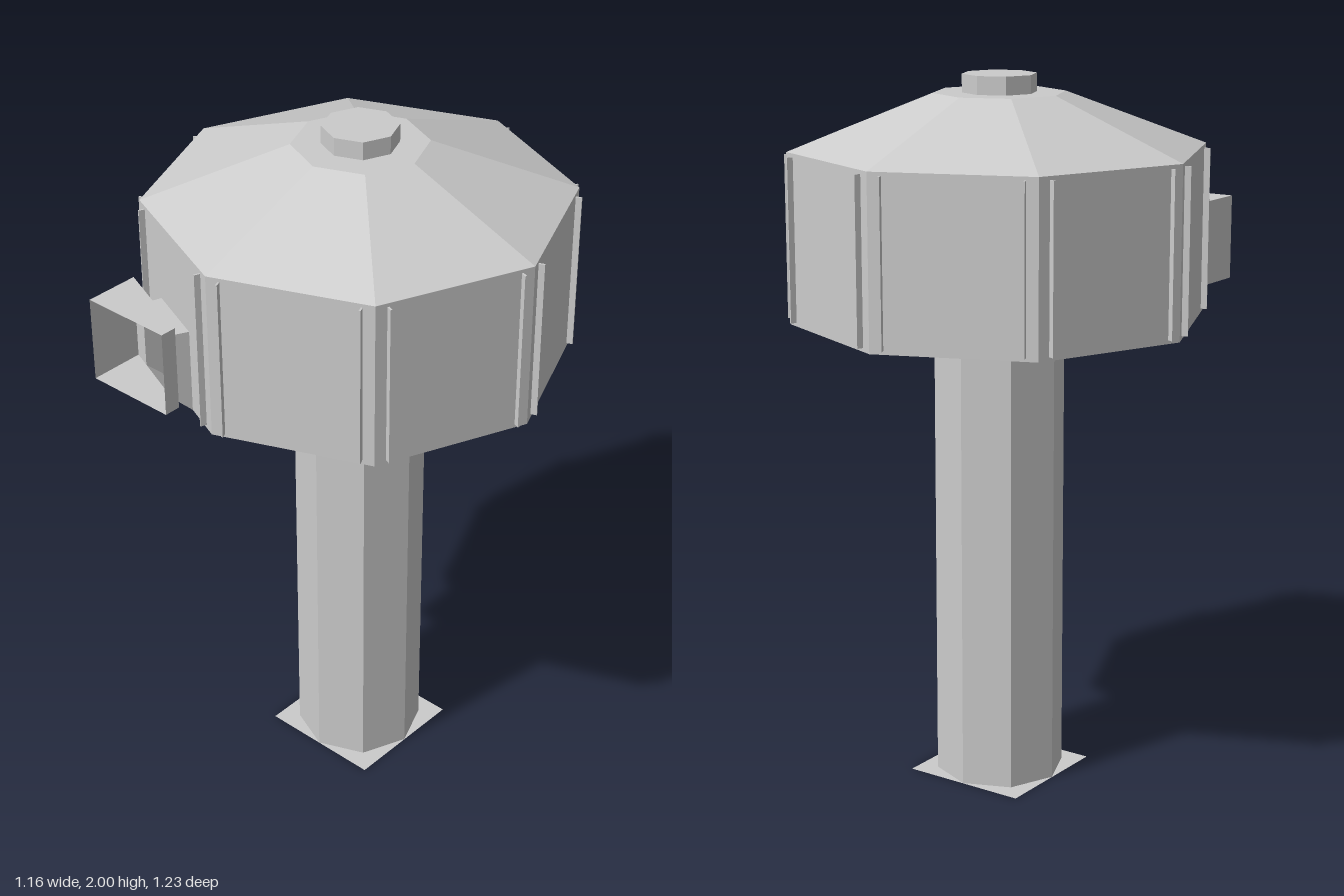
import * as THREE from 'three';

const SIDES = 8;
const BODY_R = 0.579, COLUMN_R = 0.183;
const BODY_BOTTOM = 1.33, BODY_TOP = 1.8;

const solid = new THREE.MeshStandardMaterial({ color: 0xcccccc, flatShading: true });
const sheet = new THREE.MeshStandardMaterial({ color: 0xcccccc, flatShading: true, side: THREE.DoubleSide });

function addMesh(parent, name, geometry, material = solid) {
  const mesh = new THREE.Mesh(geometry, material);
  mesh.name = name;
  parent.add(mesh);
  return mesh;
}

// Eight-sided drum or frustum between two heights
function addDrum(parent, name, topR, bottomR, y0, y1) {
  const geometry = new THREE.CylinderGeometry(topR, bottomR, y1 - y0, SIDES);
  addMesh(parent, name, geometry).position.y = (y0 + y1) / 2;
}

// Sheet surface from a list of four-cornered panels
function panels(quads) {
  const points = quads.flatMap(([a, b, c, d]) => [a, b, c, a, c, d]);
  const geometry = new THREE.BufferGeometry();
  geometry.setAttribute('position', new THREE.Float32BufferAttribute(points.flat(), 3));
  geometry.computeVertexNormals();
  return geometry;
}

// Rectangular ring of four corners: [x, z] of each side, then bottom and top
const ring = ([x0, z0], [x1, z1], low, high) =>
  [[x0, low, z0], [x1, low, z1], [x1, high, z1], [x0, high, z0]];

// Panels joining two rings
const bridge = (a, b) => a.map((p, i) => {
  const j = (i + 1) % 4;
  return [p, a[j], b[j], b[i]];
});

export function createModel() {
  const model = new THREE.Group();
  model.name = 'tower';

  const tower = new THREE.Group();
  tower.name = 'octagonalTower';
  tower.position.set(-0.007, 0, -0.033);
  model.add(tower);

  // Column standing on a thin square plate
  const plate = new THREE.PlaneGeometry(2 * COLUMN_R, 2 * COLUMN_R).rotateX(-Math.PI / 2);
  addMesh(tower, 'basePlate', plate, sheet).position.y = 0.001;
  addDrum(tower, 'column', COLUMN_R, COLUMN_R, 0.002, BODY_BOTTOM);

  // Wide head, sloping roof and cap
  addDrum(tower, 'head', BODY_R, BODY_R, BODY_BOTTOM, BODY_TOP);
  addDrum(tower, 'roof', COLUMN_R, BODY_R, BODY_TOP, 1.95);
  addDrum(tower, 'roofCap', 0.103, 0.103, 1.95, 2);

  // Thin upright fins on both sides of every corner of the head
  const apothem = BODY_R * Math.cos(Math.PI / SIDES);
  const halfFace = BODY_R * Math.sin(Math.PI / SIDES);
  const fin = new THREE.BoxGeometry(0.005, BODY_TOP - BODY_BOTTOM - 0.02, 0.02);
  for (let i = 0; i < SIDES; i++) {
    const face = new THREE.Group();
    face.name = 'faceFins';
    face.rotation.y = (i + 0.5) * 2 * Math.PI / SIDES;
    for (const side of [-1, 1]) {
      addMesh(face, 'cornerFin', fin)
        .position.set(side * (halfFace - 0.035), (BODY_BOTTOM + BODY_TOP) / 2, apothem + 0.007);
    }
    tower.add(face);
  }

  // Open-fronted hood with a slanted back wall, and the neck joining it to the head
  const hoodFront = ring([-0.37, 0.612], [-0.105, 0.612], 1.38, 1.62);
  const hoodBack = ring([-0.37, 0.455], [-0.105, 0.565], 1.38, 1.62);
  const opening = ring([-0.317, 0.477], [-0.15, 0.546], 1.38, 1.57);
  const neckRoot = ring([-0.3, 0.424], [-0.125, 0.497], BODY_BOTTOM, 1.57);
  addMesh(model, 'hood', panels(bridge(hoodFront, hoodBack)), sheet);
  addMesh(model, 'hoodBackFrame', panels(bridge(hoodBack, opening)), sheet);
  addMesh(model, 'hoodNeck', panels(bridge(opening, neckRoot)), sheet);

  return model;
}
